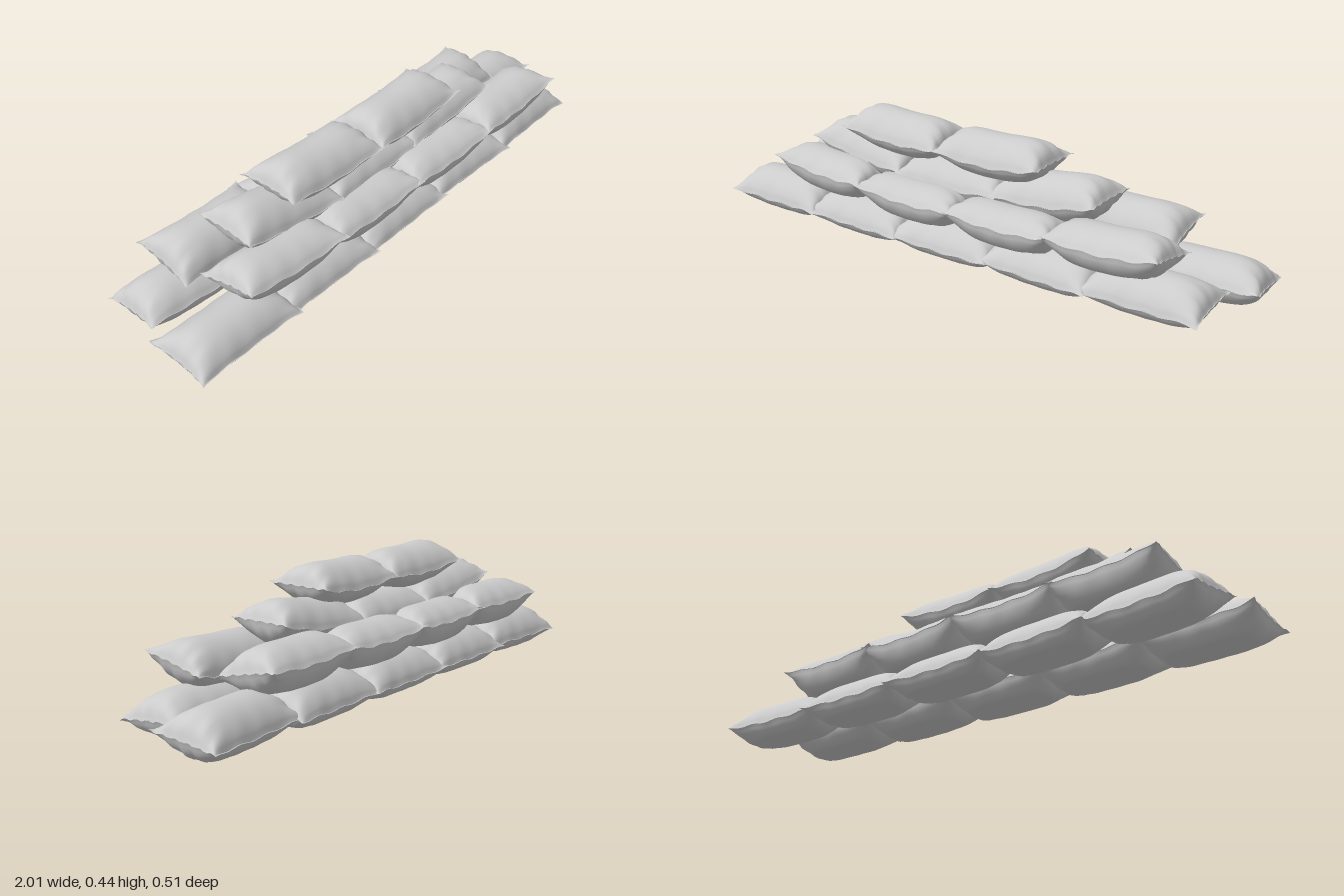
import * as THREE from 'three';
import { mergeGeometries } from 'three/addons/utils/BufferGeometryUtils.js';

const material = new THREE.MeshStandardMaterial({ color: 0xcccccc, side: THREE.DoubleSide });
const LENGTH = 0.415, WIDTH = 0.24;

// One half (upper or lower) of a stuffed bag: a grid puffed up from the seam plane
function bagHalf(sign, thickness, bow, seed) {
  const g = new THREE.PlaneGeometry(2, 2, 36, 24);
  g.rotateX(-sign * Math.PI / 2);
  const p = g.attributes.position;
  for (let i = 0; i < p.count; i++) {
    // crowd the grid lines toward the seam
    const u = Math.sin(p.getX(i) * Math.PI / 2);
    const v = Math.sin(p.getZ(i) * Math.PI / 2);
    const a = Math.min(1, Math.abs(u) / 0.975);
    const b = Math.min(1, Math.abs(v) / 0.965);
    const puff = Math.pow(1 - a ** 4, 0.52) * Math.pow(1 - b * b, 0.68);
    // the underside is pressed flat
    const fill = sign > 0 ? puff : Math.min(1, 1.25 * puff);
    // pleats gathered near the ends, small dents and ripples along the seam
    const pleat = 1 + 0.13 * a ** 6 * Math.sin(13 * v + seed * 2)
      + 0.07 * b ** 4 * Math.sin(15 * u + seed);
    const ripple = 0.003 * (a ** 8 * Math.sin(17 * v + seed) + b ** 8 * Math.sin(11 * u + seed));
    // sides pulled in so the four corners stand out
    p.setXYZ(i,
      u * LENGTH / 2 * (1 - 0.05 * (1 - v * v)),
      sign * thickness * fill * pleat + bow * u * u + ripple,
      v * WIDTH / 2 * (1 - 0.1 * (1 - u ** 4)));
  }
  return g;
}

// A whole bag, placed and turned, flattened where it rests on the ground
function sandbag(position, rotation, up, down, bow, seed) {
  const g = mergeGeometries([bagHalf(1, up, bow, seed), bagHalf(-1, down, bow, seed)]);
  g.applyMatrix4(new THREE.Matrix4().compose(
    position, new THREE.Quaternion().setFromEuler(rotation), new THREE.Vector3(1, 1, 1)));
  const p = g.attributes.position;
  for (let i = 0; i < p.count; i++) p.setY(i, Math.max(0, p.getY(i)));
  g.computeVertexNormals();
  return new THREE.Mesh(g, material);
}

// Rows of the stack: first bag's x, spacing, seam height, depth, tilt and puff;
// lift raises the end bags, fan rolls them, twist turns them, drift shifts them in z
const rows = [
  { name: 'bottomFrontRow', count: 5, x: -0.79, step: 0.375, y: 0.046, z: 0.113,
    pitch: 0.09, up: 0.076, down: 0.055, bow: 0.008, lift: 0.006, drift: -0.017 },
  { name: 'bottomBackRow', count: 5, x: -0.745, step: 0.385, y: 0.05, z: -0.12,
    pitch: -0.13, up: 0.079, down: 0.06, bow: 0.008, lift: 0.006, twist: 0.06 },
  { name: 'secondFrontRow', count: 4, x: -0.567, step: 0.384, y: 0.155, z: 0.125,
    pitch: -0.22, up: 0.073, down: 0.062, bow: 0.018, lift: 0.02, fan: 0.05 },
  { name: 'secondBackRow', count: 4, x: -0.62, step: 0.38, y: 0.17, z: -0.113,
    pitch: 0.2, up: 0.079, down: 0.065, bow: 0.015, lift: 0.007 },
  { name: 'thirdRow', count: 3, x: -0.47, step: 0.39, y: 0.222, z: 0.013,
    pitch: 0, up: 0.081, down: 0.06, bow: 0.02, lift: 0.027, fan: 0.125 },
  { name: 'topRow', count: 2, x: -0.302, step: 0.402, y: 0.345, z: 0.037,
    pitch: -0.02, up: 0.088, down: 0.052, bow: 0.022, fan: 0.025 },
];

export function createModel() {
  const model = new THREE.Group();
  model.name = 'sandbagWall';
  rows.forEach(({ name, count, x, step, y, z, pitch, up, down, bow,
    lift = 0, fan = 0, twist = 0, drift = 0 }, r) => {
    const row = new THREE.Group();
    row.name = name;
    for (let i = 0; i < count; i++) {
      const t = 2 * i / (count - 1) - 1; // -1 to 1 along the row
      const seed = 1.7 * i + 2.9 * r;
      const bag = sandbag(
        new THREE.Vector3(x + i * step, y + lift * t * t, z + drift * t),
        new THREE.Euler(pitch, twist * t + 0.025 * Math.sin(seed * 2), fan * t, 'YXZ'),
        up + 0.008 * t * t * Math.sign(lift), down, bow, seed);
      bag.name = `sandbag${i + 1}`;
      row.add(bag);
    }
    model.add(row);
  });
  return model;
}
